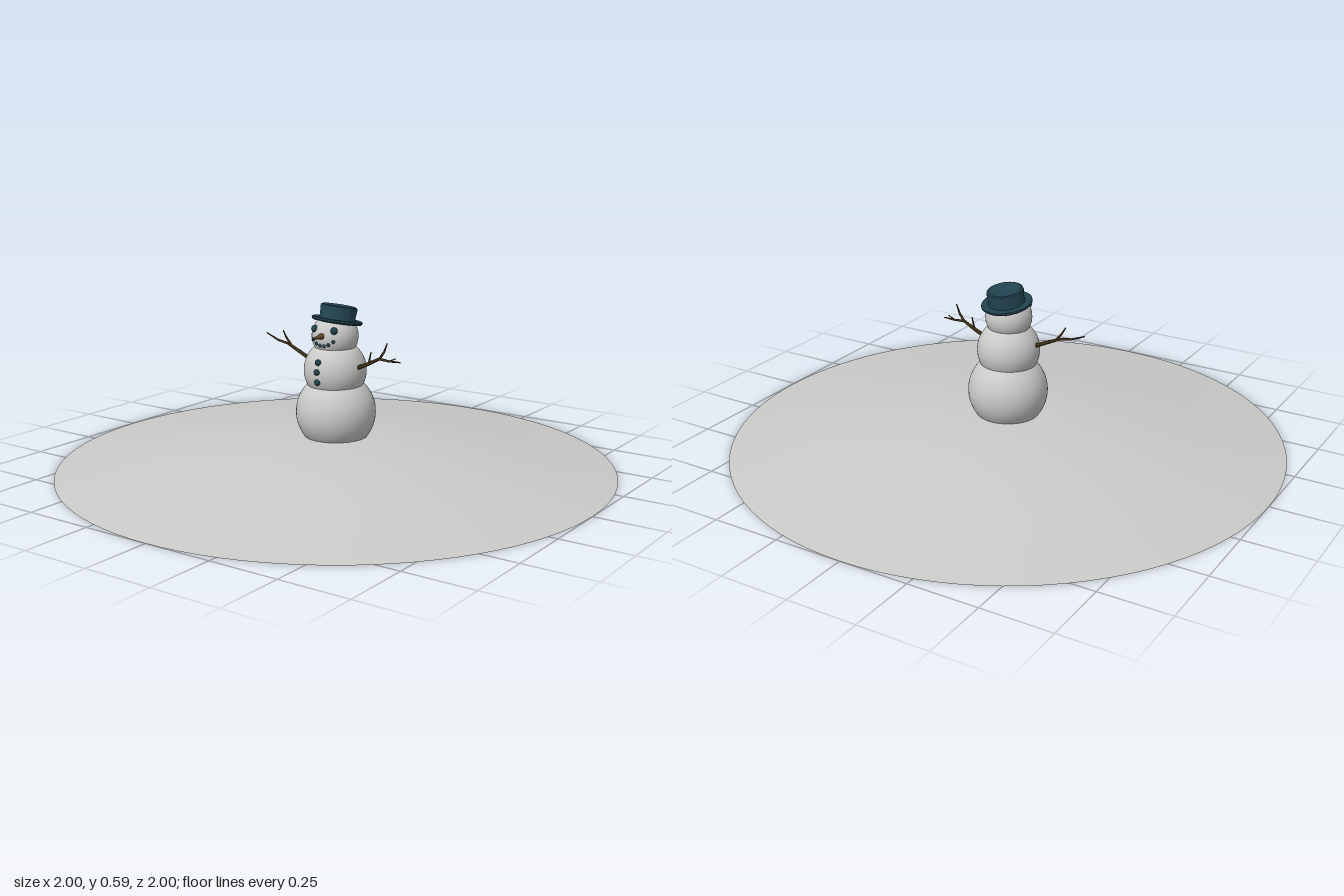
import * as THREE from 'three';
import { toCreasedNormals } from 'three/addons/utils/BufferGeometryUtils.js';

const V2 = (x, y) => new THREE.Vector2(x, y);

export function createModel() {
  const group = new THREE.Group();
  const snow = new THREE.MeshStandardMaterial({ name: 'snow', color: 0xcacac8, side: THREE.DoubleSide });
  const felt = new THREE.MeshStandardMaterial({ name: 'dark teal', color: 0x21424f });
  const wood = new THREE.MeshStandardMaterial({ name: 'dark wood', color: 0x3b2e14 });
  const carrot = new THREE.MeshStandardMaterial({ name: 'carrot brown', color: 0x614a22 });

  const add = (name, geometry, material, x = 0, y = 0, z = 0, parent = group) => {
    const mesh = new THREE.Mesh(geometry, material);
    mesh.name = name;
    mesh.position.set(x, y, z);
    parent.add(mesh);
    return mesh;
  };

  // Open snow mound, gently flaring at the rim
  const slope = new THREE.SplineCurve([
    V2(1, 0), V2(0.8, 0.03), V2(0.6, 0.062), V2(0.4, 0.09), V2(0.2, 0.109), V2(0, 0.115),
  ]);
  add('mound', new THREE.LatheGeometry(slope.getPoints(24), 96), snow);

  // Three snowballs, the lowest cut flat where it sits in the mound
  const cut = 0.108;
  add('lowerBody', new THREE.SphereGeometry(0.143, 48, 32, 0, Math.PI * 2, 0,
    Math.acos((cut - 0.2) / 0.143)), snow, 0, 0.2, 0);
  const base = add('bodyBase', new THREE.CircleGeometry(0.11, 48), snow, 0, cut, 0);
  base.rotation.x = Math.PI / 2;
  add('middleBody', new THREE.SphereGeometry(0.112, 48, 32), snow, 0, 0.353, 0.004);
  add('head', new THREE.SphereGeometry(0.083, 40, 28), snow, 0, 0.476, 0.005);

  // Coal pieces placed on the surface of a snowball
  const coal = (name, x, y, size, centreY, radius) => {
    const dy = y - centreY;
    const z = Math.sqrt(radius * radius - x * x - dy * dy) + 0.005;
    add(name, new THREE.SphereGeometry(size, 14, 10), felt, x, y, z);
  };
  for (const side of [-1, 1]) coal(side > 0 ? 'leftEye' : 'rightEye', side * 0.041, 0.507, 0.013, 0.476, 0.083);
  for (let i = 0; i < 6; i++) {
    const t = (i - 2.5) / 2.5;
    coal('mouthCoal', t * 0.042, 0.451 + 0.018 * t * t, 0.0065, 0.476, 0.083);
  }
  for (const y of [0.396, 0.363, 0.326]) coal('button', 0, y, 0.011, 0.353, 0.112);

  // Carrot nose
  const nose = add('nose', new THREE.ConeGeometry(0.013, 0.078, 16), carrot, 0, 0.486, 0.112);
  nose.rotation.x = Math.PI / 2;

  // Hat with a dished crown, leaning backwards
  const hatProfile = [
    V2(0, 0), V2(0.086, 0), V2(0.091, 0.005), V2(0.09, 0.011), V2(0.084, 0.013), V2(0.066, 0.011),
    V2(0.063, 0.02), V2(0.066, 0.05), V2(0.064, 0.057), V2(0.058, 0.06), V2(0.05, 0.057), V2(0, 0.053),
  ];
  const hat = add('hat', toCreasedNormals(new THREE.LatheGeometry(hatProfile, 48), 0.7), felt, 0, 0.523, -0.006);
  hat.rotation.set(-0.17, 0, -0.06);

  // Branch arms made of tapering twigs
  const twig = (parent, a, b, r0, r1) => {
    const from = new THREE.Vector3(a[0], a[1], 0);
    const to = new THREE.Vector3(b[0], b[1], 0);
    const dir = to.clone().sub(from);
    const mid = from.clone().add(to).multiplyScalar(0.5);
    const mesh = add('twig', new THREE.CylinderGeometry(r1, r0, dir.length(), 8), wood, mid.x, mid.y, 0, parent);
    mesh.quaternion.setFromUnitVectors(new THREE.Vector3(0, 1, 0), dir.normalize());
  };
  const arms = {
    leftArm: [
      [[0.09, 0.368], [0.155, 0.397], 0.008, 0.0065],
      [[0.155, 0.397], [0.195, 0.418], 0.0065, 0.005],
      [[0.195, 0.418], [0.213, 0.443], 0.005, 0.004],
      [[0.213, 0.443], [0.226, 0.476], 0.004, 0.002],
      [[0.193, 0.417], [0.235, 0.414], 0.005, 0.004],
      [[0.235, 0.414], [0.28, 0.415], 0.004, 0.002],
      [[0.235, 0.414], [0.262, 0.427], 0.003, 0.0015],
      [[0.15, 0.395], [0.16, 0.438], 0.004, 0.002],
    ],
    rightArm: [
      [[-0.09, 0.376], [-0.155, 0.406], 0.008, 0.0065],
      [[-0.155, 0.406], [-0.2, 0.426], 0.0065, 0.005],
      [[-0.2, 0.426], [-0.245, 0.434], 0.005, 0.004],
      [[-0.245, 0.434], [-0.297, 0.455], 0.004, 0.002],
      [[-0.185, 0.42], [-0.207, 0.447], 0.005, 0.0035],
      [[-0.207, 0.447], [-0.222, 0.472], 0.0035, 0.002],
    ],
  };
  for (const [name, twigs] of Object.entries(arms)) {
    const arm = new THREE.Group();
    arm.name = name;
    arm.position.z = 0.016;
    for (const t of twigs) twig(arm, ...t);
    group.add(arm);
  }
  return group;
}
